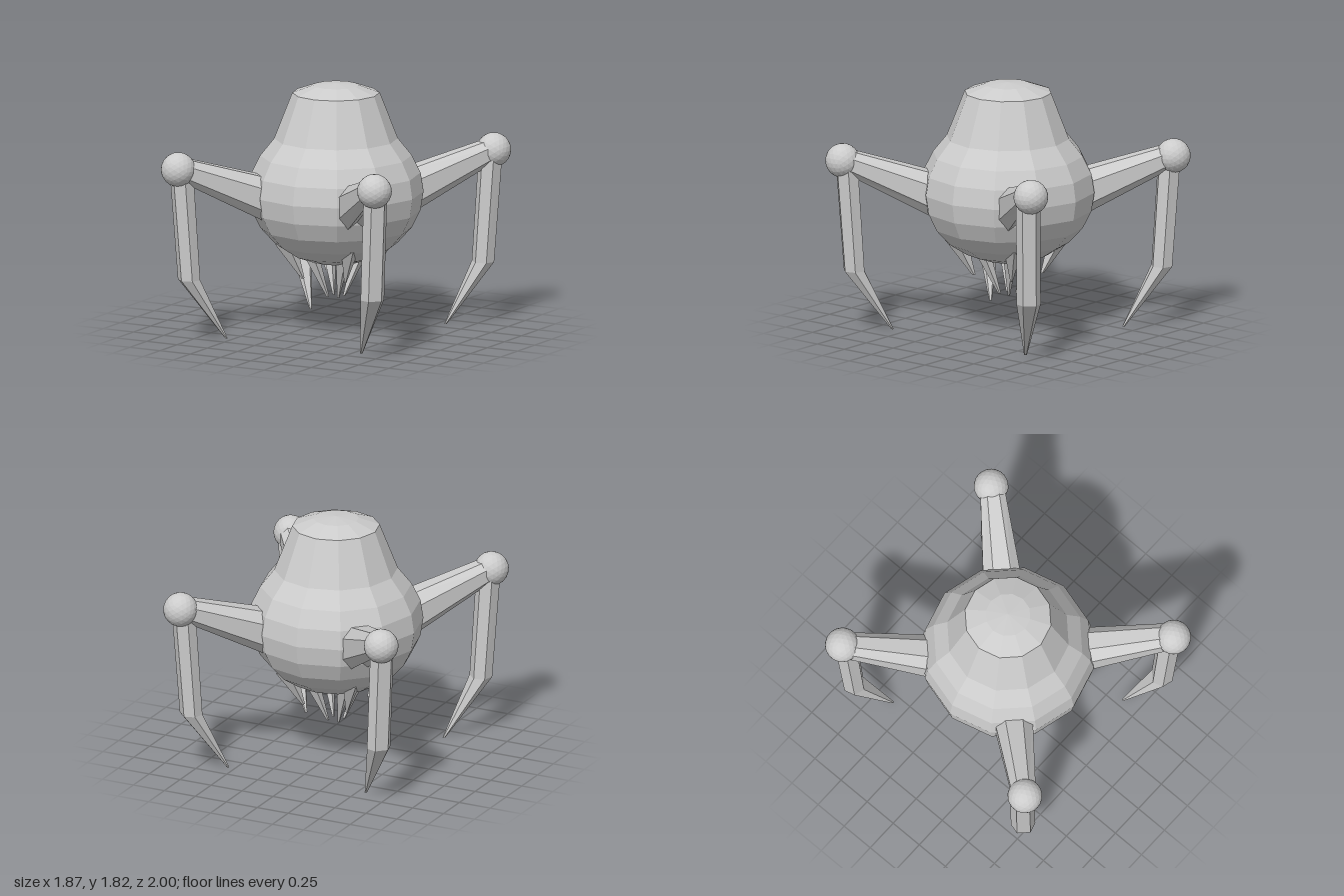
import * as THREE from 'three';

const material = new THREE.MeshStandardMaterial({ color: 0xcccccc, flatShading: true });

// Cross-sections as [across, outward] in units of the half sizes
const ARM = [[0.47, 1], [1, 0.5], [1, -0.5], [0.47, -1], [0, -0.72], [-0.47, -1], [-1, -0.5], [-1, 0.5], [-0.47, 1]];
const SHIN = [[0.55, 1], [1, 0], [0.55, -1], [-0.55, -1], [-1, 0], [-0.55, 1]];
const SPIKE = [[0, 1], [1, 0], [0, -1], [-1, 0]];

const ACROSS = new THREE.Vector3(1, 0, -1).normalize();
const OUT = new THREE.Vector3(1, 0, 1).normalize();
const UP = new THREE.Vector3(0, 1, 0);

// Skin a closed section along stations [x, y, z, halfAcross, halfOutward], mirrored by sx and sz
function loft(section, stations, outward, sx, sz) {
  const n = section.length;
  const flip = sx * sz < 0;
  const positions = [];
  const centres = stations.map(([x, y, z]) => new THREE.Vector3(x, y, z));
  const rings = stations.map(([, , , w, d], i) => section.map(([a, b]) =>
    centres[i].clone().addScaledVector(ACROSS, a * w).addScaledVector(outward, b * d)));

  // Reverse sections that run the wrong way round for the sweep direction
  const sweep = centres[1].clone().sub(centres[0]);
  const reversed = ACROSS.clone().cross(outward).dot(sweep) < 0;
  const area = section.reduce((s, [a, b], j) => {
    const [c, d] = section[(j + 1) % n];
    return s + a * d - b * c;
  }, 0);
  const swap = flip !== (reversed !== (area < 0));
  const tri = (a, b, c) => (swap ? [a, c, b] : [a, b, c])
    .forEach((p) => positions.push(p.x * sx, p.y, p.z * sz));

  for (let j = 0; j < n; j++) {
    const k = (j + 1) % n;
    for (let i = 0; i + 1 < rings.length; i++) {
      tri(rings[i][j], rings[i][k], rings[i + 1][k]);
      tri(rings[i][j], rings[i + 1][k], rings[i + 1][j]);
    }
    const last = rings.length - 1;
    tri(centres[0], rings[0][k], rings[0][j]);
    tri(centres[last], rings[last][j], rings[last][k]);
  }
  const geometry = new THREE.BufferGeometry();
  geometry.setAttribute('position', new THREE.Float32BufferAttribute(positions, 3));
  geometry.computeVertexNormals();
  return geometry;
}

function part(parent, name, geometry) {
  const mesh = new THREE.Mesh(geometry, material);
  mesh.name = name;
  parent.add(mesh);
  return mesh;
}

export function createModel() {
  const model = new THREE.Group();
  model.name = 'fourLeggedWalker';

  // Twelve-sided squashed ball whose upper rings are drawn up into a crown
  const profile = [];
  for (let i = 0; i <= 9; i++) {
    const t = (i * Math.PI) / 12;
    profile.push(new THREE.Vector2(0.63 * Math.sin(t), 1.025 - 0.53 * Math.cos(t)));
  }
  profile[9].y = 1.415;
  profile.push(new THREE.Vector2(0.315, 1.75), new THREE.Vector2(0.163, 1.805), new THREE.Vector2(0, 1.82));
  part(model, 'body', new THREE.LatheGeometry(profile, 12));

  for (const sx of [1, -1]) {
    for (const sz of [1, -1]) {
      const side = (sz > 0 ? 'front' : 'back') + (sx > 0 ? 'Left' : 'Right');

      // Leg: grooved upper arm, round joint and clawed shin
      const leg = new THREE.Group();
      leg.name = side + 'Leg';
      model.add(leg);
      part(leg, 'upperArm', loft(ARM, [
        [0.345, 0.985, 0.35, 0.142, 0.17],
        [0.79, 1.25, 0.845, 0.088, 0.09],
      ], UP, sx, sz));
      part(leg, 'joint', new THREE.IcosahedronGeometry(0.125, 3)).position.set(0.81 * sx, 1.258, 0.875 * sz);
      part(leg, 'shin', loft(SHIN, [
        [0.8, 1.22, 0.843, 0.088, 0.075],
        [0.757, 0.445, 0.811, 0.088, 0.07],
        [0.557, 0, 0.618, 0.01, 0.008],
      ], OUT, sx, sz));

      // Short outer and long inner spikes under the belly
      const spikes = new THREE.Group();
      spikes.name = side + 'Spikes';
      model.add(spikes);
      part(spikes, 'shortSpike', loft(SPIKE, [
        [0.265, 0.66, 0.265, 0.065, 0.08],
        [0.175, 0.4, 0.175, 0.008, 0.012],
      ], OUT, sx, sz));
      part(spikes, 'longSpike', loft(SPIKE, [
        [0.145, 0.62, 0.145, 0.06, 0.065],
        [0.043, 0.255, 0.043, 0.008, 0.01],
      ], OUT, sx, sz));
    }
  }
  return model;
}
